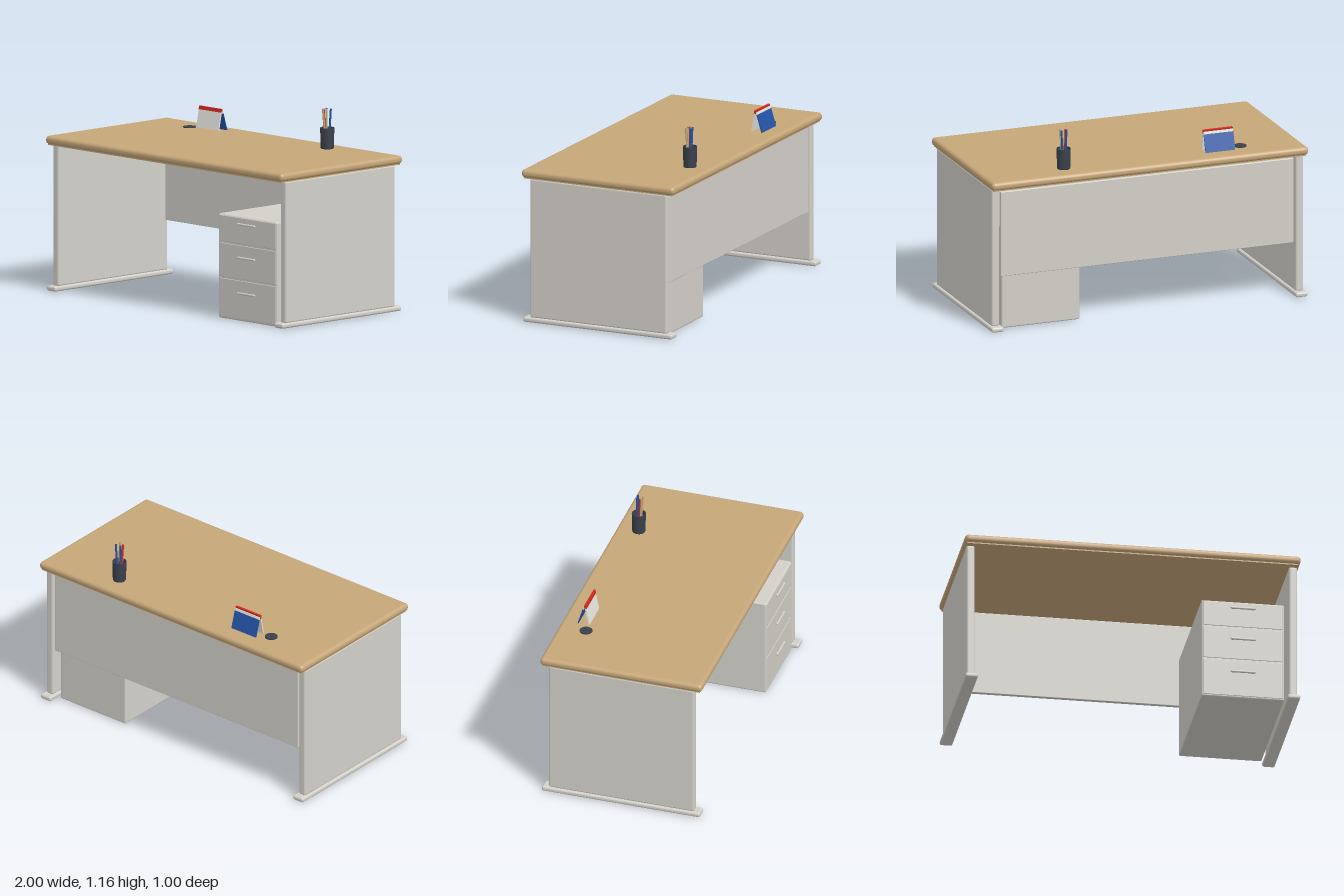
import * as THREE from 'three';
import { RoundedBoxGeometry } from 'three/addons/geometries/RoundedBoxGeometry.js';

const paint = (name, color, side = THREE.FrontSide) => {
  const m = new THREE.MeshStandardMaterial({ color, side });
  m.name = name;
  return m;
};

export function createModel() {
  const desk = new THREE.Group();
  desk.name = 'desk';

  const wood = paint('wood', 0xc6a679);
  const grey = paint('warm grey', 0xd3d0c9);
  const dark = paint('charcoal', 0x3a404b, THREE.DoubleSide);
  const red = paint('red', 0xd22b20);
  const blue = paint('blue', 0x2453a6);
  const white = paint('paper white', 0xe6e4de);

  const add = (name, geometry, material, x, y, z, parent = desk) => {
    const mesh = new THREE.Mesh(geometry, material);
    mesh.name = name;
    mesh.position.set(x, y, z);
    parent.add(mesh);
    return mesh;
  };
  // Rounded box given by its extents
  const block = (name, material, [x0, x1], [y0, y1], [z0, z1], radius, parent = desk) =>
    add(name, new RoundedBoxGeometry(x1 - x0, y1 - y0, z1 - z0, 4, radius), material,
      (x0 + x1) / 2, (y0 + y1) / 2, (z0 + z1) / 2, parent);

  // Top with rounded edge and a thin board below it
  block('deskTop', wood, [-1, 1], [0.877, 0.926], [-0.5, 0.5], 0.022);
  add('underBoard', new THREE.BoxGeometry(1.97, 0.008, 0.97), wood, 0, 0.875, 0);

  // Side panels on long feet
  for (const s of [-1, 1]) {
    const x = s * 0.96;
    block('sidePanel', grey, [x - 0.025, x + 0.025], [0.028, 0.874], [-0.449, 0.449], 0.012);
    block('foot', grey, [x - 0.038, x + 0.038], [0.002, 0.032], [-0.488, 0.488], 0.012);
  }

  // Back panel
  block('backPanel', grey, [-0.925, 0.925], [0.33, 0.85], [-0.442, -0.418], 0.004);

  // Drawer pedestal
  const pedestal = new THREE.Group();
  pedestal.name = 'drawerPedestal';
  desk.add(pedestal);
  block('cabinet', grey, [0.414, 0.908], [0, 0.622], [-0.41, 0.449], 0.01, pedestal);
  const drawers = [[0.46, 0.615, 0.578], [0.25, 0.45, 0.378], [0.012, 0.24, 0.166]];
  for (const [y0, y1, handleY] of drawers) {
    block('drawerFront', grey, [0.424, 0.898], [y0, y1], [0.444, 0.452], 0.003, pedestal);
    const handle = add('handle', new THREE.CapsuleGeometry(0.007, 0.138, 4, 10), grey,
      0.661, handleY, 0.461, pedestal);
    handle.rotation.z = Math.PI / 2;
    for (const dx of [-0.06, 0.06])
      add('handlePost', new THREE.BoxGeometry(0.012, 0.01, 0.012), grey,
        0.661 + dx, handleY, 0.455, pedestal);
  }

  // Round coaster
  add('coaster', new THREE.CylinderGeometry(0.038, 0.038, 0.006, 28), dark, -0.63, 0.929, -0.33);

  // Hollow pencil cup
  const cup = new THREE.Group();
  cup.name = 'pencilCup';
  cup.position.set(0.498, 0.926, -0.363);
  desk.add(cup);
  const profile = [[0, 0], [0.037, 0], [0.039, 0.004], [0.042, 0.122], [0.041, 0.125],
    [0.036, 0.124], [0.034, 0.008], [0, 0.008]].map(([r, y]) => new THREE.Vector2(r, y));
  add('cup', new THREE.LatheGeometry(profile, 32), dark, 0, 0, 0, cup);

  // Leaning pencils: colour and tip offset
  const pencils = [[red, -0.018, 0.012], [wood, 0.014, 0.021], [blue, 0.018, -0.012], [wood, -0.016, 0.02],
    [blue, -0.016, -0.008]];
  for (const [material, dx, dz] of pencils) {
    const base = new THREE.Vector3(dx * 0.35, 0.01, dz * 0.35);
    const tip = new THREE.Vector3(dx, 0.237, dz);
    const axis = tip.clone().sub(base);
    const pencil = add('pencil', new THREE.CylinderGeometry(0.006, 0.006, axis.length(), 8), material,
      0, 0, 0, cup);
    pencil.position.copy(base).add(tip).multiplyScalar(0.5);
    pencil.quaternion.setFromUnitVectors(new THREE.Vector3(0, 1, 0), axis.normalize());
  }

  // Tent calendar: each sheet leans from (y0, z0) up to (y1, z1)
  const calendar = new THREE.Group();
  calendar.name = 'tentCalendar';
  desk.add(calendar);
  const sheet = (name, material, y0, z0, y1, z1, thick) => {
    const mesh = add(name, new THREE.BoxGeometry(0.186, Math.hypot(y1 - y0, z1 - z0), thick),
      material, -0.478, (y0 + y1) / 2, (z0 + z1) / 2, calendar);
    mesh.rotation.x = Math.atan2(z1 - z0, y1 - y0);
  };
  sheet('frontPages', white, 0.932, -0.331, 1.042, -0.353, 0.008);
  sheet('redHeader', red, 1.038, -0.352, 1.06, -0.356, 0.012);
  sheet('backBoard', blue, 0.93, -0.399, 1.035, -0.367, 0.006);
  sheet('backPages', white, 1.03, -0.367, 1.05, -0.362, 0.005);

  return desk;
}
